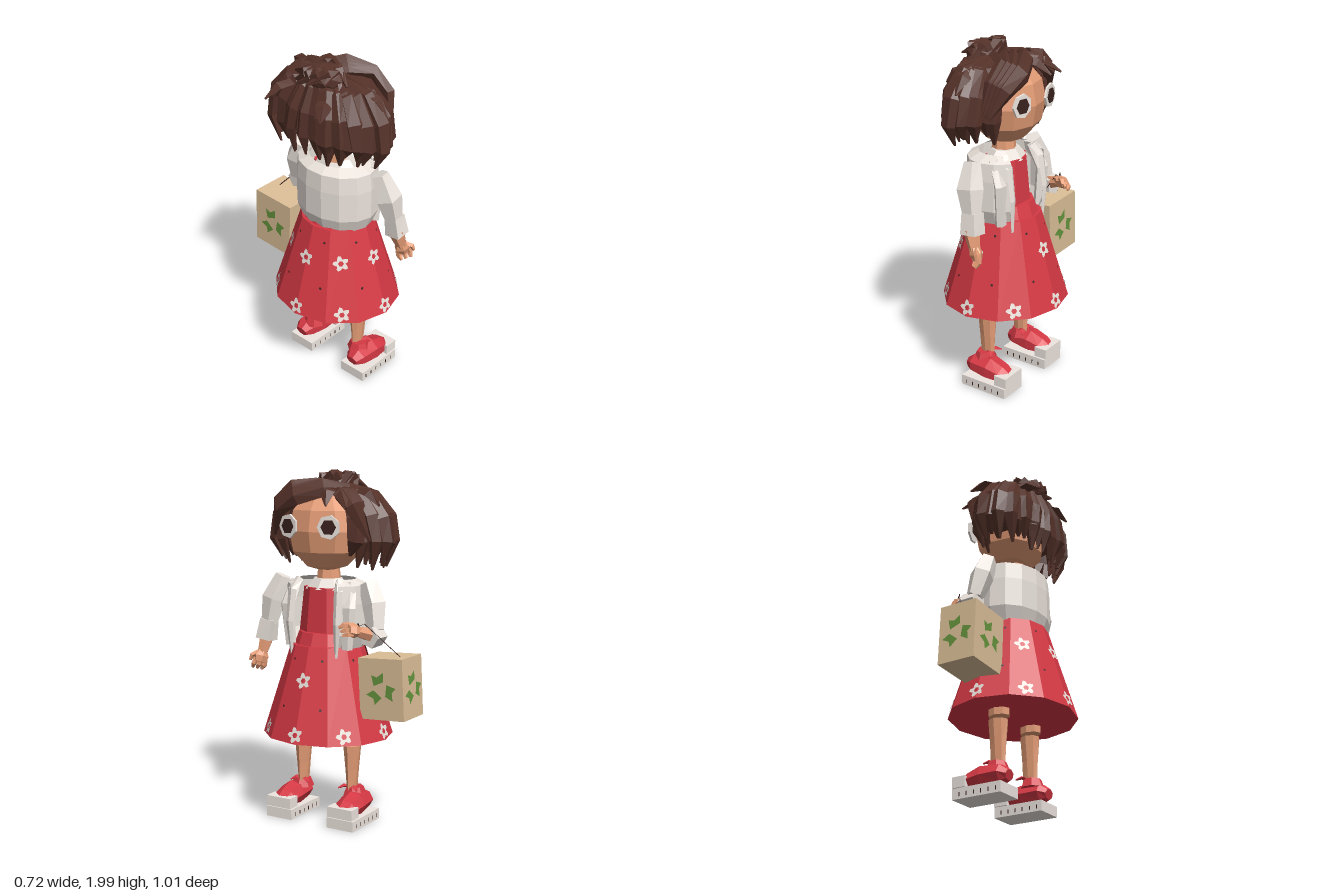
import * as THREE from 'three';

const mat = (color, side = THREE.FrontSide) => new THREE.MeshStandardMaterial({ color, flatShading: true, side });
const HAIR = mat(0x553229), SKIN = mat(0xe59d76), RED = mat(0xd53944), CLOTH = mat(0xeae2db, THREE.DoubleSide);
const SOLE = mat(0xeee6e0), CARD = mat(0xdcbf98), GREEN = mat(0x66953e, THREE.DoubleSide), DARK = mat(0x3a221d, THREE.DoubleSide);
const V = (a) => new THREE.Vector3(...a);

let seed = 7;
const rnd = () => (seed = (seed * 16807) % 2147483647) / 2147483647;
const jit = (s) => (rnd() - 0.5) * s;

function add(parent, name, geo, material, pos = [0, 0, 0], scale = [1, 1, 1]) {
  const m = new THREE.Mesh(geo, material);
  m.name = name;
  m.position.set(...pos);
  m.scale.set(...scale);
  parent.add(m);
  return m;
}
const box = (p, name, size, pos, material) => add(p, name, new THREE.BoxGeometry(...size), material, pos);

// Rings along a path; each radius is [width, thickness], thickness lying along "out".
function loft(path, radii, sides = 6, out = [1, 0, 0]) {
  const pts = path.map(V), pos = [], idx = [], n = pts.length, o = V(out);
  pts.forEach((p, i) => {
    const t = pts[Math.min(i + 1, n - 1)].clone().sub(pts[Math.max(i - 1, 0)]).normalize();
    const u = o.clone().cross(t).normalize(), v = t.clone().cross(u);
    for (let j = 0; j < sides; j++) {
      const a = (j / sides) * Math.PI * 2;
      const q = p.clone().addScaledVector(u, Math.cos(a) * radii[i][0]).addScaledVector(v, Math.sin(a) * radii[i][1]);
      pos.push(q.x, q.y, q.z);
    }
  });
  pos.push(...pts[0].toArray(), ...pts[n - 1].toArray());
  for (let j = 0; j < sides; j++) {
    const k = (j + 1) % sides, e = (n - 1) * sides;
    for (let i = 0; i < n - 1; i++) {
      const a = i * sides + j, b = i * sides + k;
      idx.push(a, b, b + sides, a, b + sides, a + sides);
    }
    idx.push(n * sides, k, j, n * sides + 1, e + j, e + k);
  }
  const g = new THREE.BufferGeometry();
  g.setAttribute('position', new THREE.Float32BufferAttribute(pos, 3));
  g.setIndex(idx);
  g.computeVertexNormals();
  return g;
}

function buildHead(g) {
  // Boxy, faceted head with a narrowed chin
  const skull = new THREE.SphereGeometry(1, 9, 6);
  const p = skull.attributes.position;
  for (let i = 0; i < p.count; i++) {
    const f = (v) => Math.sign(v) * Math.abs(v) ** 0.8;
    const y = p.getY(i), chin = y < -0.6 ? 0.9 : 1;
    p.setXYZ(i, f(p.getX(i)) * chin * 0.19, y * 0.23, f(p.getZ(i)) * chin * 0.215);
  }
  add(g, 'head', skull.rotateY(Math.PI), SKIN, [0.01, 1.655, 0]);
  add(g, 'neck', new THREE.CylinderGeometry(0.06, 0.075, 0.14, 8), SKIN, [-0.01, 1.4, 0]);

  // Eyes: white disc with a dark iris
  for (const s of [1, -1]) {
    const eye = new THREE.Group();
    eye.name = 'eye';
    eye.position.set(0.2, 1.685, s * 0.13);
    eye.rotation.y = -s * 0.2;
    const disc = (name, r, d, sides, m, x) => { add(eye, name, new THREE.CylinderGeometry(r, r, d, sides), m, [x, 0, 0]).rotation.z = -Math.PI / 2; };
    disc('eyeWhite', 0.067, 0.012, 7, SOLE, 0);
    disc('iris', 0.044, 0.01, 6, DARK, 0.006);
    g.add(eye);
  }
}

function buildHair(g) {
  const hair = new THREE.Group();
  hair.name = 'hair';
  g.add(hair);
  const cx = -0.06;
  // Rounded cap over the back and crown
  add(hair, 'hairCap', new THREE.SphereGeometry(1, 11, 7), HAIR, [cx, 1.73, 0], [0.17, 0.19, 0.31]);

  // Ragged pointed locks in two layers, leaving the face open
  for (const layer of [0, 1]) {
    const count = 17 - layer;
    for (let i = 0; i < count; i++) {
      const a = THREE.MathUtils.degToRad(42 + layer * 8 + ((276 - layer * 16) * i) / (count - 1) + jit(6));
      const c = Math.cos(a), s = Math.sin(a), k = 1 - layer * 0.12 + jit(0.1), turn = jit(0.2);
      const at = (r, y, w = 0) => [cx + Math.cos(a + w) * r * 0.18 * k, y + jit(0.02), Math.sin(a + w) * r * 0.365 * k];
      const low = 1.45 + rnd() * 0.07;
      add(hair, 'hairLock', loft([at(0.25, 1.9), at(0.72, 1.86), at(0.98, 1.74), at(1.04, 1.6, turn / 2), at(0.9, low, turn)],
        [[0.02, 0.012], [0.045, 0.025], [0.058, 0.032], [0.046, 0.03], [0.008, 0.006]], 4 + (i % 2), [c, 0.2, s]), HAIR);
    }
  }

  // Lumpy bun with crossing tufts
  add(hair, 'bun', new THREE.IcosahedronGeometry(1, 1), HAIR, [-0.12, 1.91, 0.01], [0.095, 0.07, 0.13]);
  for (let i = 0; i < 12; i++) {
    const a = (i / 12) * Math.PI * 2 + jit(0.4), b = a + 0.9, top = 1.965 + jit(0.03);
    add(hair, 'bunTuft', loft([[-0.12 + Math.cos(a) * 0.02, top, Math.sin(a) * 0.04], [-0.12 + Math.cos(a) * 0.075, top - 0.01, Math.sin(a) * 0.1], [-0.12 + Math.cos(b) * 0.115, 1.88 + jit(0.07), Math.sin(b) * 0.17]],
      [[0.022, 0.014], [0.038, 0.028], [0.006, 0.006]], 4, [Math.cos(a), 1, Math.sin(a)]), HAIR);
  }

  // Fringe swept from a parting above one eye, with a shorter flared side
  for (let i = 0; i < 4; i++) {
    const d = i * 0.037, w = jit(0.03);
    add(hair, 'fringe', loft([[0.0 - d, 1.885, -0.14 + d], [0.11 - d, 1.895, -0.04 + d], [0.17 - d * 0.6, 1.85 + d * 0.3, 0.1 + d * 0.5], [0.155 - d * 0.5, 1.775 + d * 0.3, 0.22 + d * 0.3], [0.1 - d * 0.3, 1.64 + w, 0.3 + w]],
      [[0.03, 0.02], [0.06, 0.03], [0.062, 0.038], [0.052, 0.032], [0.01, 0.008]], 5, [1, 0.5, 0]), HAIR);
    add(hair, 'fringeShort', loft([[0.0 - d, 1.885, -0.1], [0.12 - d * 0.8, 1.865, -0.16], [0.14 - d * 0.8, 1.8, -0.23], [0.07 - d * 0.6, 1.62 + w, -0.31]],
      [[0.03, 0.02], [0.05, 0.03], [0.046, 0.03], [0.008, 0.008]], 5, [1, 0.3, -0.5]), HAIR);
  }
  // Loose flicks
  const flicks = [[[0.06, 1.88, -0.1], [0.2, 1.79, -0.24]], [[0.08, 1.88, -0.06], [0.215, 1.8, -0.12]], [[-0.18, 1.84, -0.16], [-0.32, 1.77, -0.22]],
    [[0.0, 1.88, -0.22], [0.06, 1.8, -0.36]], [[-0.05, 1.87, 0.25], [-0.04, 1.76, 0.38]], [[-0.2, 1.82, 0.1], [-0.29, 1.74, 0.14]]];
  for (const [from, to] of flicks)
    add(hair, 'hairFlick', loft([from, from.map((v, i) => (v + to[i]) / 2 + (i === 1 ? 0.025 : 0)), to], [[0.04, 0.02], [0.042, 0.024], [0.006, 0.006]], 4, [0.3, 1, 0.1]), HAIR);
}

function buildClothes(g) {
  add(g, 'skirt', new THREE.CylinderGeometry(0.2, 0.355, 0.52, 12).rotateY(Math.PI / 2), RED, [0, 0.76, 0], [1, 1, 1.06]);
  add(g, 'bodice', new THREE.CylinderGeometry(0.13, 0.165, 0.34, 8).rotateY(Math.PI / 8), RED, [0, 1.17, 0], [0.85, 1, 1.1]);
  add(g, 'waistband', new THREE.CylinderGeometry(0.165, 0.195, 0.08, 12), RED, [0, 1.05, 0], [0.95, 1, 1]);
  add(g, 'collar', new THREE.CylinderGeometry(0.08, 0.13, 0.06, 8), CLOTH, [0, 1.36, 0], [0.85, 1, 1.1]);

  // Open jacket with hanging front edges
  const profile = [[0.215, 1.01], [0.25, 1.09], [0.25, 1.26], [0.24, 1.36], [0.17, 1.39]].map((q) => new THREE.Vector2(...q));
  add(g, 'jacket', new THREE.LatheGeometry(profile, 11, Math.PI / 2 + 0.7, Math.PI * 2 - 1.4), CLOTH, [0, 0, 0], [0.8, 1, 1]);
  for (const s of [1, -1]) {
    add(g, 'jacketEdge', loft([[0.09, 1.39, s * 0.13], [0.135, 1.33, s * 0.15], [0.16, 1.15, s * 0.155], [0.15, 0.96, s * 0.145]],
      [[0.025, 0.018], [0.028, 0.014], [0.024, 0.012], [0.01, 0.008]], 4), CLOTH);
    add(g, 'jacketPanel', loft([[0.05, 1.37, s * 0.18], [0.11, 1.24, s * 0.2], [0.1, 1.01, s * 0.185]], [[0.035, 0.03], [0.045, 0.03], [0.035, 0.03]], 6), CLOTH);
  }

  // Ragged flowers lying on the skirt, with small dots between them
  const onSkirt = (name, geo, m, deg, y, lift) => {
    const a = THREE.MathUtils.degToRad(deg), r = 0.2 + ((1.02 - y) / 0.52) * 0.155;
    const onEdge = deg % 30 === 0 ? 1 : Math.cos(Math.PI / 12);
    const f = add(g, name, geo, m, [Math.cos(a) * (r * onEdge + lift), y, Math.sin(a) * (r * onEdge * 1.06 + lift)]);
    f.rotation.set(-0.29, Math.PI / 2 - a, 0, 'YXZ');
  };
  const flower = new THREE.Shape();
  for (let i = 0; i < 20; i++) {
    const a = (i / 20) * Math.PI * 2, r = [0.026, 0.042, 0.048, 0.036][i % 4];
    flower[i ? 'lineTo' : 'moveTo'](Math.cos(a) * r, Math.sin(a) * r);
  }
  flower.holes.push(new THREE.Path().absarc(0, 0, 0.016, 0, Math.PI * 2, true));
  const petals = new THREE.ShapeGeometry(flower, 3);
  const dot = new THREE.CircleGeometry(0.008, 5);
  for (let d = 0; d < 360; d += 45) {
    onSkirt('flower', petals, CLOTH, d, 0.55, 0.005);
    if (d !== 45 && d !== 315) onSkirt('flower', petals, CLOTH, d, 0.84, 0.005);
    onSkirt('skirtDot', dot, DARK, d + 22.5, 0.69, 0.009);
    onSkirt('skirtDot', dot, DARK, d + 22.5, 0.95, 0.009);
  }
}

// Chubby half-closed hand
function buildHand(g, wrist, dir, out) {
  const at = (d, spread, curl = 0) => {
    const perp = V(dir).cross(V(out)).toArray();
    return wrist.map((w, i) => w + dir[i] * d + out[i] * spread + perp[i] * curl);
  };
  add(g, 'palm', loft([wrist, at(0.035, 0), at(0.07, 0)], [[0.028, 0.028], [0.036, 0.046], [0.026, 0.036]], 6, out), SKIN);
  const side = V(dir).cross(V(out)).toArray();
  for (const f of [-1, 0, 1])
    add(g, 'finger', loft([at(0.05, f * 0.027), at(0.085, f * 0.032, 0.008), at(0.105, f * 0.026, 0.03)], [[0.016, 0.016], [0.016, 0.016], [0.009, 0.009]], 4, side), SKIN);
  add(g, 'thumb', loft([at(0.015, 0.02), at(0.04, 0.052, 0.01), at(0.07, 0.055, 0.02)], [[0.016, 0.016], [0.015, 0.015], [0.008, 0.008]], 4, side), SKIN);
}

function buildArms(g) {
  // Lowered arm
  add(g, 'sleeve', loft([[0.0, 1.385, 0.3], [0.02, 1.25, 0.35], [0.045, 1.11, 0.37]], [[0.05, 0.045], [0.075, 0.075], [0.05, 0.05]], 5), CLOTH);
  add(g, 'cuff', loft([[0.05, 1.13, 0.37], [0.06, 1.015, 0.385]], [[0.06, 0.055], [0.068, 0.065]], 4, [0.7, 0, 0.7]), CLOTH);
  add(g, 'forearm', loft([[0.05, 1.04, 0.385], [0.085, 0.93, 0.4]], [[0.046, 0.046], [0.03, 0.03]], 6), SKIN);
  buildHand(g, [0.08, 0.95, 0.4], [0.35, -0.94, 0.02], [0.75, 0.28, 0.6]);
  // Bent arm holding the bag
  add(g, 'sleeve', loft([[0.0, 1.375, -0.26], [0.01, 1.26, -0.31], [0.04, 1.12, -0.335]], [[0.055, 0.05], [0.07, 0.07], [0.05, 0.05]], 5), CLOTH);
  add(g, 'cuff', loft([[0.01, 1.09, -0.34], [0.11, 1.09, -0.33]], [[0.055, 0.055], [0.062, 0.062]], 5, [0, 1, 0]), CLOTH);
  add(g, 'forearm', loft([[0.08, 1.1, -0.33], [0.17, 1.13, -0.29]], [[0.042, 0.042], [0.03, 0.03]], 6, [0, 1, 0]), SKIN);
  buildHand(g, [0.16, 1.13, -0.295], [0.86, 0.2, 0.42], [-0.3, 0.7, 0.6]);
}

function buildLeg(g, s) {
  const leg = new THREE.Group();
  leg.name = 'leg';
  leg.position.z = 0.006 + s * 0.165;
  g.add(leg);
  add(leg, 'thigh', new THREE.CylinderGeometry(0.065, 0.06, 0.14, 8), SKIN, [-0.01, 0.53, 0], [1.05, 1, 0.8]);
  add(leg, 'shin', loft([[-0.005, 0.17, 0], [-0.005, 0.3, 0], [-0.005, 0.44, 0]], [[0.022, 0.044], [0.034, 0.05], [0.05, 0.058]], 8), SKIN);
  // Platform shoe
  const z = s * 0.04;
  box(leg, 'sole', [0.3, 0.06, 0.17], [0.05, 0.03, z], SOLE);
  box(leg, 'toeCap', [0.08, 0.06, 0.16], [0.165, 0.095, z], SOLE);
  add(leg, 'shoe', loft([[-0.1, 0.11, z], [-0.06, 0.12, z], [0.05, 0.115, z], [0.13, 0.105, z], [0.18, 0.09, z]],
    [[0.04, 0.03], [0.068, 0.055], [0.078, 0.07], [0.07, 0.05], [0.05, 0.03]], 7, [0, 1, 0]), RED);
  add(leg, 'ankleStrap', new THREE.CylinderGeometry(0.05, 0.07, 0.05, 7), RED, [-0.01, 0.175, s * 0.015]);
  for (const b of [1, -1])
    add(leg, 'bow', loft([[-0.01, 0.195, 0], [0.03, 0.205, b * 0.035], [0.05, 0.19, b * 0.06]], [[0.008, 0.006], [0.02, 0.01], [0.006, 0.004]], 4, [0, 1, 0]), RED);
  for (let i = 0; i < 6; i++)
    for (const b of [1, -1]) box(leg, 'soleNotch', [0.005, 0.022, 0.003], [-0.07 + i * 0.045, 0.025, z + b * 0.085], DARK);
}

function buildBag(g) {
  const bag = new THREE.Group();
  bag.name = 'bag';
  bag.position.set(0.007, 0.812, -0.412);
  bag.rotation.x = 0.05;
  g.add(bag);
  box(bag, 'bagBody', [0.225, 0.34, 0.272], [0, 0, 0], CARD);
  // Ring of three leaves on each of three sides
  const leaf = new THREE.Shape([[-0.035, 0.03], [0.03, 0.035], [0.045, 0.085], [0.0, 0.07], [-0.03, 0.09]].map((q) => new THREE.Vector2(...q)));
  const leafGeo = new THREE.ShapeGeometry(leaf);
  for (const [x, z, ry] of [[0.116, 0, Math.PI / 2], [-0.116, 0, -Math.PI / 2], [0, -0.139, Math.PI]])
    for (let i = 0; i < 3; i++) add(bag, 'leaf', leafGeo, GREEN, [x, 0, z]).rotation.set(0, ry, (i * Math.PI * 2) / 3 + 0.3);
  // Thin cord handles meeting in the hand
  for (const s of [1, -1])
    add(g, 'handle', loft([[0.02, 0.97, -0.385 + s * 0.11], [0.15, 1.17, -0.305 + s * 0.02], [0.19, 1.15, -0.29]], [[0.003, 0.003], [0.003, 0.003], [0.003, 0.003]], 4, [1, 0, 0.3]), DARK);
}

export function createModel() {
  const model = new THREE.Group();
  model.name = 'girlWithBag';
  const g = new THREE.Group();
  g.name = 'figure';
  g.position.z = 0.06;
  model.add(g);
  buildHead(g);
  buildHair(g);
  buildClothes(g);
  buildArms(g);
  for (const s of [1, -1]) buildLeg(g, s);
  buildBag(g);
  return model;
}
